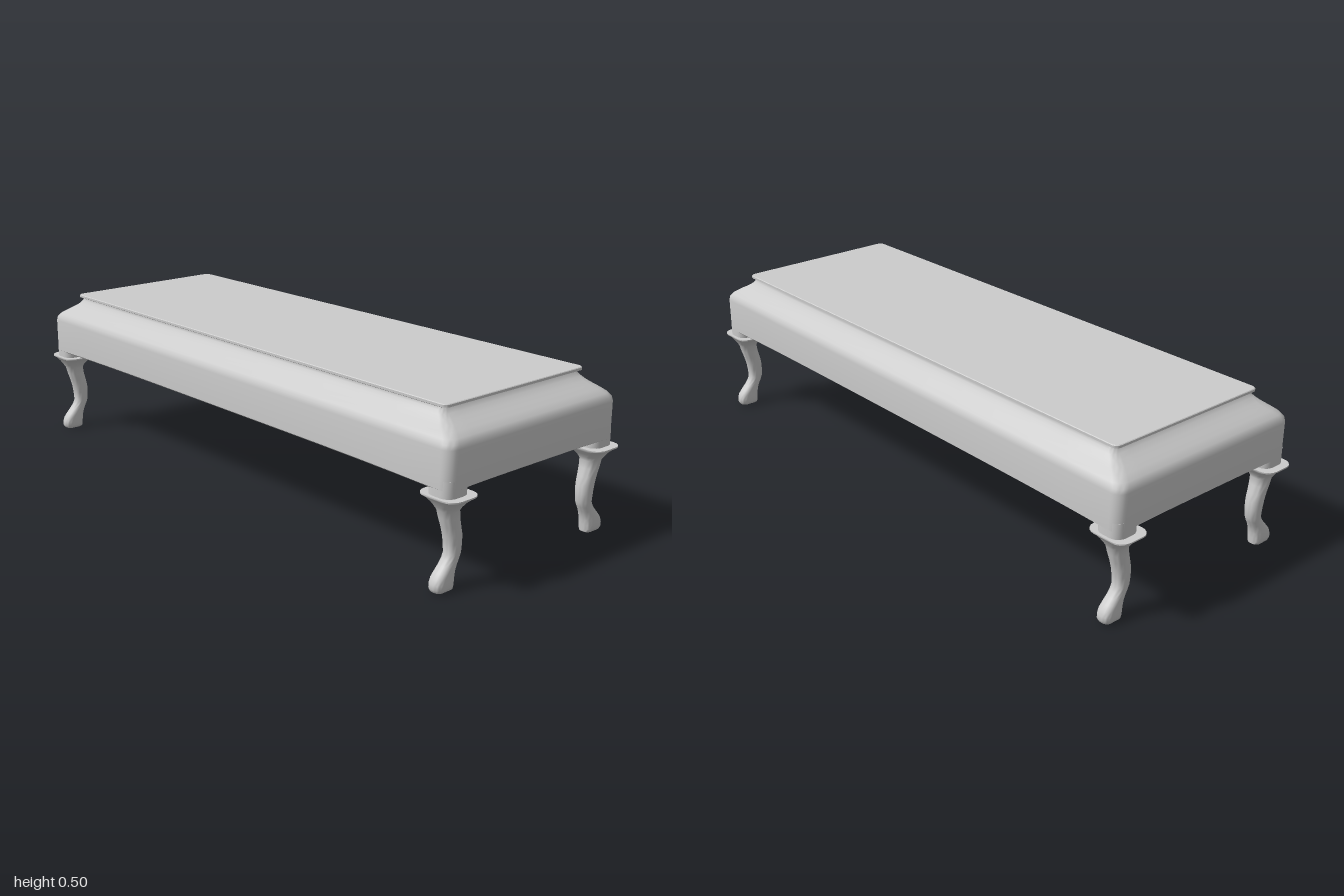
import * as THREE from 'three';
import { toCreasedNormals } from 'three/addons/utils/BufferGeometryUtils.js';

const material = new THREE.MeshStandardMaterial({ color: 0xcccccc });

// Rounded rectangle in the xz plane, counter-clockwise from above
function ring(cx, y, cz, hx, hz, r, arc = 5, edge = 1) {
  const radius = Math.min(r, hx, hz);
  const corners = [[1, -1], [-1, -1], [-1, 1], [1, 1]];
  const points = [];
  corners.forEach(([sx, sz], c) => {
    for (let i = 0; i <= arc; i++) {
      const a = (c + i / arc) * Math.PI / 2;
      points.push(new THREE.Vector3(
        cx + sx * (hx - radius) + radius * Math.cos(a), y,
        cz + sz * (hz - radius) - radius * Math.sin(a)));
    }
    const [nx, nz] = corners[(c + 1) % 4];
    const a = (c + 1) * Math.PI / 2;
    const end = new THREE.Vector3(
      cx + nx * (hx - radius) + radius * Math.cos(a), y,
      cz + nz * (hz - radius) - radius * Math.sin(a));
    const start = points[points.length - 1];
    for (let i = 1; i < edge; i++) points.push(start.clone().lerp(end, i / edge));
  });
  return points;
}

// Capped skin over rings listed from bottom to top
function loft(name, rings, crease = 0.7) {
  const n = rings[0].length;
  const positions = [], index = [];
  rings.forEach(r => r.forEach(p => positions.push(p.x, p.y, p.z)));
  for (let j = 0; j < rings.length - 1; j++) {
    for (let i = 0; i < n; i++) {
      const a = j * n + i, b = j * n + (i + 1) % n;
      index.push(a, b, b + n, a, b + n, a + n);
    }
  }
  [[0, false], [rings.length - 1, true]].forEach(([j, top]) => {
    const centre = rings[j].reduce((s, p) => s.add(p), new THREE.Vector3()).divideScalar(n);
    const c = positions.length / 3;
    positions.push(centre.x, centre.y, centre.z);
    for (let i = 0; i < n; i++) {
      const a = j * n + i, b = j * n + (i + 1) % n;
      if (top) index.push(c, a, b);
      else index.push(c, b, a);
    }
  });
  const geometry = new THREE.BufferGeometry();
  geometry.setAttribute('position', new THREE.Float32BufferAttribute(positions, 3));
  geometry.setIndex(index);
  const mesh = new THREE.Mesh(toCreasedNormals(geometry, crease), material);
  mesh.name = name;
  return mesh;
}

function createBody() {
  // y, half width, half length, corner radius
  const profile = [
    [0.297, 0.346, 0.968, 0.035], [0.302, 0.352, 0.975, 0.035],
    [0.405, 0.352, 0.975, 0.035], [0.418, 0.350, 0.972, 0.035],
    [0.430, 0.342, 0.962, 0.035], [0.442, 0.328, 0.944, 0.033],
    [0.453, 0.314, 0.925, 0.03], [0.463, 0.303, 0.908, 0.027],
    [0.473, 0.295, 0.893, 0.023], [0.482, 0.288, 0.884, 0.02],
    [0.490, 0.285, 0.880, 0.018], [0.494, 0.286, 0.885, 0.018],
  ];
  const rings = profile.map(([y, hx, hz, r]) => ring(0, y, 0, hx, hz, r, 6, 12));
  // Lower edge dips gently toward the corners
  rings.slice(0, 2).forEach(r => r.forEach(p => {
    p.y -= 0.008 * Math.pow(Math.abs(p.z) / 0.975, 4) * (0.4 + 0.6 * Math.pow(Math.abs(p.x) / 0.352, 4));
  }));
  return loft('body', rings);
}

function createTop() {
  const profile = [
    [0.490, 0.287, 0.892], [0.492, 0.290, 0.898], [0.499, 0.290, 0.898], [0.501, 0.288, 0.896],
  ];
  return loft('topPanel', profile.map(([y, hx, hz]) => ring(0, y, 0, hx, hz, 0.018)), 0.5);
}

function createLeg() {
  const leg = new THREE.Group();
  // Post between the body and the leg collar
  leg.add(loft('legBlock', [0.268, 0.32].map(y => ring(0.3065, y, 0.93, 0.0445, 0.044, 0.03))));

  // Curved leg: y, inner x, outer x, half depth, roundness
  const profile = [
    [0.000, 0.292, 0.345, 0.015, 0.8], [0.003, 0.287, 0.351, 0.020, 0.8],
    [0.012, 0.286, 0.356, 0.023, 0.8], [0.025, 0.285, 0.355, 0.024, 0.8],
    [0.040, 0.283, 0.350, 0.024, 0.85], [0.055, 0.279, 0.338, 0.023, 0.9],
    [0.070, 0.273, 0.324, 0.022, 0.9], [0.085, 0.265, 0.312, 0.022, 0.9],
    [0.100, 0.259, 0.305, 0.023, 0.9], [0.130, 0.257, 0.307, 0.025, 0.9],
    [0.155, 0.258, 0.311, 0.026, 0.9], [0.180, 0.264, 0.318, 0.027, 0.9],
    [0.205, 0.271, 0.326, 0.029, 0.9], [0.228, 0.274, 0.332, 0.031, 0.9],
    [0.240, 0.269, 0.339, 0.038, 0.85], [0.252, 0.260, 0.346, 0.047, 0.75],
    [0.263, 0.250, 0.354, 0.059, 0.65], [0.269, 0.245, 0.361, 0.068, 0.6],
    [0.273, 0.245, 0.361, 0.068, 0.6],
  ];
  leg.add(loft('cabrioleLeg', profile.map(([y, x0, x1, hz, k]) => {
    const hx = (x1 - x0) / 2;
    return ring((x0 + x1) / 2, y, 0.93, hx, hz, Math.min(hx, hz) * k);
  }), 0.9));
  return leg;
}

export function createModel() {
  const model = new THREE.Group();
  model.name = 'longBench';
  model.add(createBody(), createTop());

  // One leg at each corner, toes pointing sideways
  for (const front of [true, false]) {
    for (const left of [true, false]) {
      const leg = createLeg();
      leg.name = (front ? 'front' : 'back') + (left ? 'Left' : 'Right') + 'Leg';
      // The leg is symmetric in depth, so a half turn gives the other side
      if (!left) leg.rotation.y = Math.PI;
      if (front !== left) leg.position.z = front ? 1.86 : -1.86;
      model.add(leg);
    }
  }
  return model;
}
